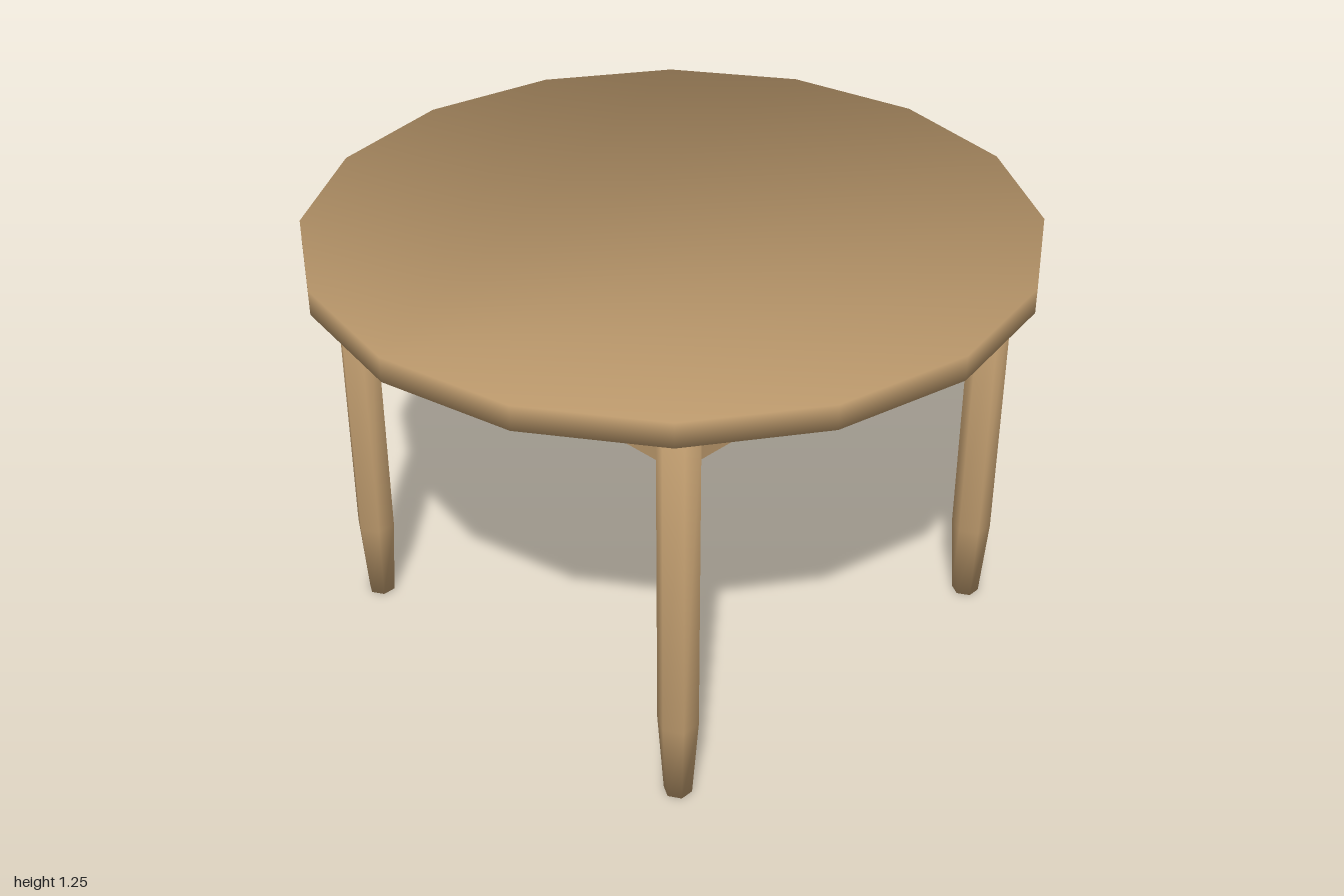
import * as THREE from 'three';

// Closed n-sided prism through [radius, y] rings, with soft normals shared by caps and sides
function softPrism(rings, n) {
  const pos = [], nor = [], index = [];
  const last = rings.length - 1;
  rings.forEach(([r, y], j) => {
    const ny = j === 0 ? -1 : j === last ? 1 : 0;
    for (let i = 0; i < n; i++) {
      const a = (i / n) * Math.PI * 2;
      const v = new THREE.Vector3(Math.sin(a), ny, Math.cos(a)).normalize();
      pos.push(r * Math.sin(a), y, r * Math.cos(a));
      nor.push(v.x, v.y, v.z);
    }
  });
  for (let j = 0; j < last; j++) {
    for (let i = 0; i < n; i++) {
      const a = j * n + i, b = j * n + ((i + 1) % n);
      index.push(a, b, b + n, a, b + n, a + n);
    }
  }
  const t = last * n;
  for (let i = 1; i < n - 1; i++) index.push(0, i + 1, i, t, t + i, t + i + 1);
  const g = new THREE.BufferGeometry();
  g.setAttribute('position', new THREE.Float32BufferAttribute(pos, 3));
  g.setAttribute('normal', new THREE.Float32BufferAttribute(nor, 3));
  g.setIndex(index);
  return g;
}

export function createModel() {
  const table = new THREE.Group();
  table.name = 'roundTable';
  const wood = new THREE.MeshStandardMaterial({ color: 0xb8966a });
  wood.name = 'wood';

  const add = (name, geometry, x, y, z) => {
    const mesh = new THREE.Mesh(geometry, wood);
    mesh.name = name;
    mesh.position.set(x, y, z);
    table.add(mesh);
  };

  // Sixteen-sided top
  add('tableTop', softPrism([[1, 1.18], [1, 1.25]], 16), 0, 0, 0);

  // Solid apron block; the base sits very slightly off centre
  const cx = -0.007, cz = -0.012;
  add('apron', new THREE.BoxGeometry(1.21, 0.185, 1.19), cx, 1.0925, cz);

  // Six-sided legs with tapered feet
  const leg = softPrism([[0.039, 0], [0.056, 0.24], [0.056, 1.185]], 6);
  for (const [sx, side] of [[1, 'Left'], [-1, 'Right']]) {
    for (const [sz, end] of [[1, 'front'], [-1, 'back']]) {
      add(`${end}${side}Leg`, leg, cx + sx * 0.626, 0, cz + sz * 0.616);
    }
  }
  return table;
}
